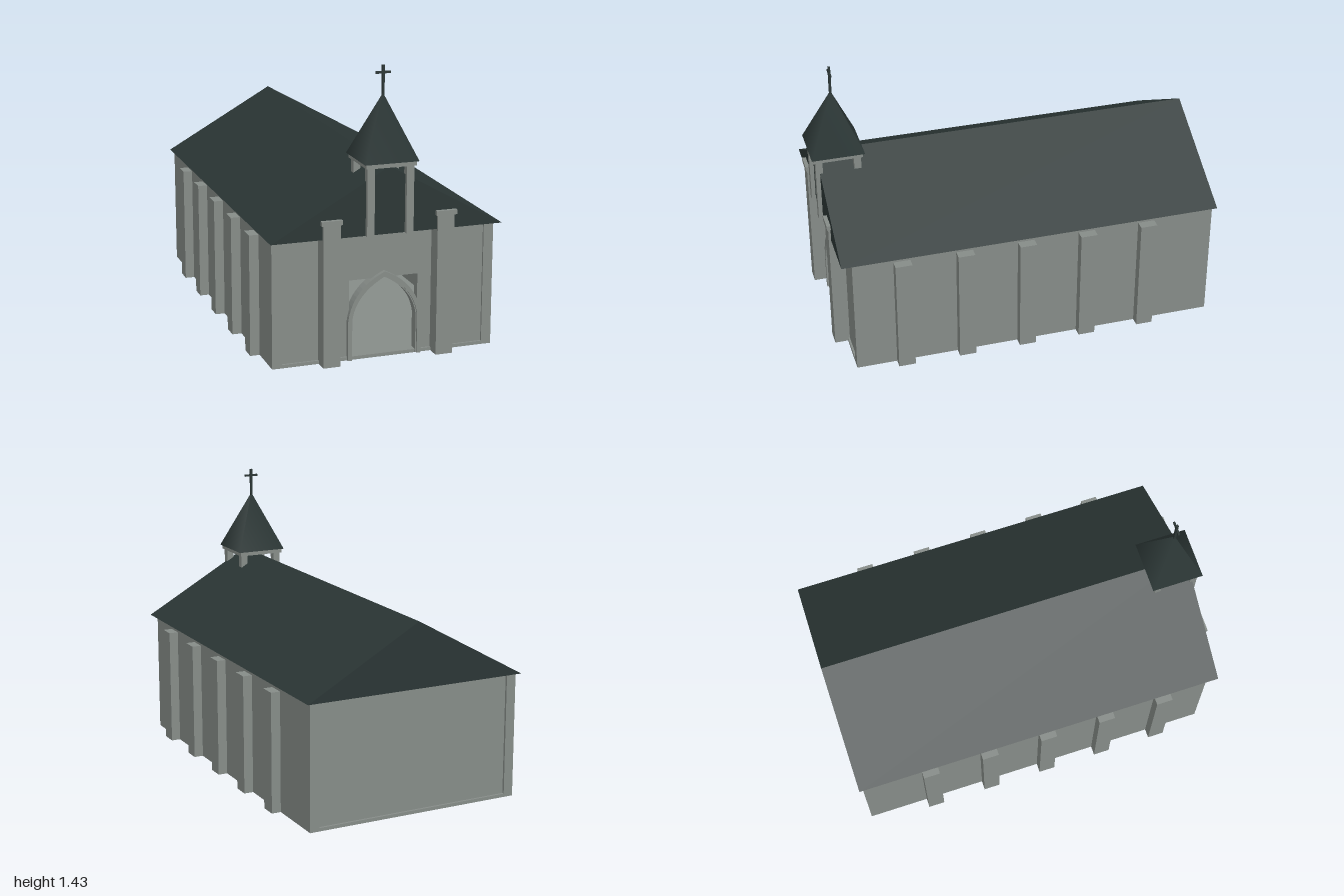
import * as THREE from 'three';

export function createModel() {
  const model = new THREE.Group();
  const mat = (name, color) => {
    const m = new THREE.MeshStandardMaterial({ color });
    m.name = name;
    return m;
  };
  const stone = mat('grey stone', 0x868c88);
  const slate = mat('dark slate', 0x2b3635);

  const add = (name, geometry, material) => {
    const mesh = new THREE.Mesh(geometry, material);
    mesh.name = name;
    model.add(mesh);
    return mesh;
  };
  // Box given by its limits on each axis
  const box = (name, material, [x0, x1], [y0, y1], [z0, z1]) =>
    add(name, new THREE.BoxGeometry(x1 - x0, y1 - y0, z1 - z0), material)
      .position.set((x0 + x1) / 2, (y0 + y1) / 2, (z0 + z1) / 2);
  // Extruded outline running from z0 to z1
  const extrude = (name, material, shape, z0, z1, curveSegments = 12) =>
    add(name, new THREE.ExtrudeGeometry(shape, { depth: z1 - z0, bevelEnabled: false, curveSegments }), material)
      .position.z = z0;
  const polygon = (points) => new THREE.Shape(points.map(([x, y]) => new THREE.Vector2(x, y)));

  const front = 0.905, back = -0.98, eave = 0.635;

  // Hollow nave: floor, side walls, back wall and sills
  box('floor', stone, [-0.56, 0.56], [0, 0.015], [back + 0.005, front - 0.005]);
  box('backWall', stone, [-0.54, 0.54], [0.001, eave], [back + 0.012, back + 0.05]);
  box('backSill', stone, [-0.515, 0.515], [0, 0.017], [back, back + 0.04]);
  box('frontSill', stone, [-0.515, 0.515], [0, 0.017], [front - 0.04, front]);
  for (const s of [-1, 1]) {
    const span = (a, b) => (s > 0 ? [a, b] : [-b, -a]);
    box('sideWall', stone, span(0.525, 0.565), [0, eave], [back + 0.05, front - 0.05]);
    box('frontCornerPost', stone, span(0.515, 0.565), [0, eave], [front - 0.05, front]);
    box('backCornerPost', stone, span(0.515, 0.565), [0, eave], [back, back + 0.05]);

    // Side buttresses
    for (let i = 0; i < 5; i++) {
      const z = 0.655 - i * 0.319;
      box('buttress', stone, span(0.56, 0.613), [0, 0.61], [z - 0.043, z + 0.043]);
    }

    // Capped piers beside the entrance
    box('frontPier', stone, span(0.245, 0.331), [0, 0.708], [front - 0.03, 0.972]);
    box('pierCap', stone, span(0.237, 0.341), [0.705, 0.728], [front - 0.03, 0.98]);

    // Belfry posts
    for (const z of [0.767, 0.963])
      box('belfryPost', stone, span(0.08, 0.117), [eave, 0.967], [z - 0.018, z + 0.018]);
  }

  // Front wall with a rectangular doorway
  extrude('frontWall', stone, polygon([
    [-0.53, 0.002], [-0.175, 0.002], [-0.175, 0.4], [0.175, 0.4],
    [0.175, 0.002], [0.53, 0.002], [0.53, eave], [-0.53, eave],
  ]), front - 0.05, front - 0.01);

  // Pointed arch standing in the doorway, in two stepped rings
  const archRing = (outer, outerTop, inner, innerTop) => {
    const shape = new THREE.Shape();
    shape.moveTo(-outer, 0);
    shape.lineTo(-outer, 0.2);
    shape.quadraticCurveTo(-outer * 0.89, outerTop - 0.075, 0, outerTop);
    shape.quadraticCurveTo(outer * 0.89, outerTop - 0.075, outer, 0.2);
    shape.lineTo(outer, 0);
    shape.lineTo(inner, 0);
    shape.lineTo(inner, 0.2);
    shape.quadraticCurveTo(inner * 0.89, innerTop - 0.075, 0, innerTop);
    shape.quadraticCurveTo(-inner * 0.89, innerTop - 0.075, -inner, 0.2);
    shape.lineTo(-inner, 0);
    return shape;
  };
  extrude('outerArch', stone, archRing(0.187, 0.435, 0.168, 0.412), front - 0.04, front + 0.012);
  extrude('innerArch', stone, archRing(0.17, 0.414, 0.163, 0.405), front - 0.045, front + 0.003);

  // Altar inside at the far end
  box('altarStep', stone, [-0.4, 0.4], [0.01, 0.038], [-0.93, -0.6]);
  box('altar', stone, [-0.108, 0.108], [0.038, 0.13], [-0.85, -0.72]);
  box('altarCross', slate, [-0.007, 0.007], [0.318, 0.38], [-0.935, -0.92]);

  // Gabled roof
  extrude('roof', slate, polygon([[-0.585, eave], [0.585, eave], [0, 0.965]]), -1, 0.96);

  // Belfry slab, spire and cross
  const spireZ = 0.865;
  box('belfrySlab', stone, [-0.125, 0.125], [0.965, 0.987], [spireZ - 0.125, spireZ + 0.125]);
  const spire = add('spire', new THREE.ConeGeometry(0.135 * Math.SQRT2, 0.31, 4), slate);
  spire.rotation.y = Math.PI / 4;
  spire.position.set(0, 1.142, spireZ);
  box('crossUpright', slate, [-0.006, 0.006], [1.28, 1.43], [spireZ - 0.006, spireZ + 0.006]);
  box('crossArm', slate, [-0.037, 0.037], [1.389, 1.4], [spireZ - 0.005, spireZ + 0.005]);

  return model;
}
